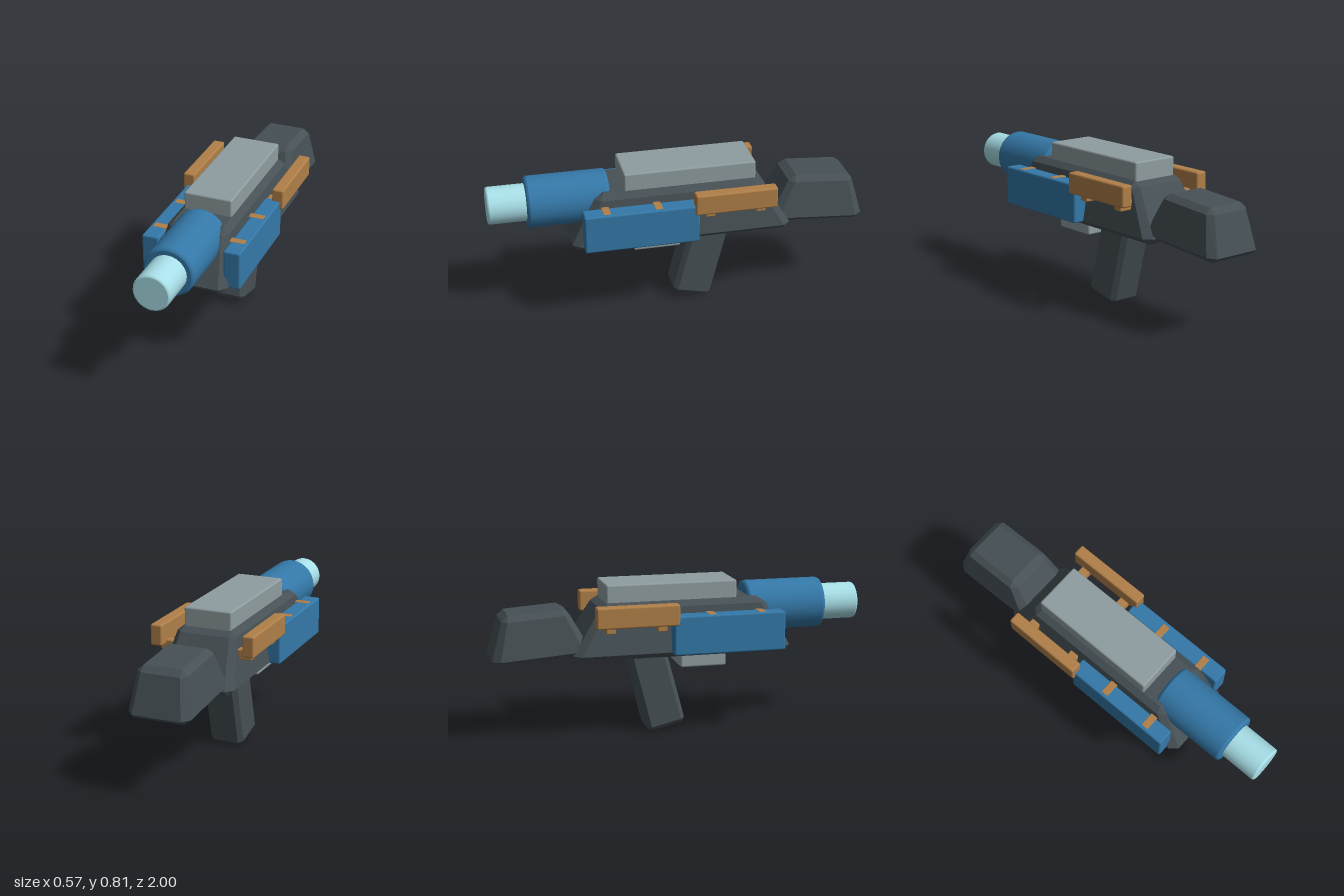
import * as THREE from 'three';
import { ConvexGeometry } from 'three/addons/geometries/ConvexGeometry.js';
import { RoundedBoxGeometry } from 'three/addons/geometries/RoundedBoxGeometry.js';

const paint = (color) => new THREE.MeshStandardMaterial({ color });

export function createModel() {
  const model = new THREE.Group();
  const dark = paint(0x465055);
  dark.flatShading = true;
  const blue = paint(0x3478a8);
  const cyan = paint(0xa8dfe8);
  const bronze = paint(0xb07f48);
  const grey = paint(0x8f9da0);

  const add = (name, geometry, material) => {
    const mesh = new THREE.Mesh(geometry, material);
    mesh.name = name;
    model.add(mesh);
    return mesh;
  };

  // Softly rounded block given by its limits on each axis
  const block = (name, material, [x0, x1], [y0, y1], [z0, z1], r = 0.01) => {
    const mesh = add(name, new RoundedBoxGeometry(x1 - x0, y1 - y0, z1 - z0, 2, r), material);
    mesh.position.set((x0 + x1) / 2, (y0 + y1) / 2, (z0 + z1) / 2);
    return mesh;
  };

  // Chamfered block: side outline corners as [z, y], half widths below and above
  const chamfered = (name, bottomFront, bottomBack, topFront, topBack, lowW, highW, bevel) => {
    const points = [];
    const mix = THREE.MathUtils.lerp;
    // u, v, w run 0..1 across, up and front-to-back
    const place = (u, v, w) => {
      const [z, y] = [0, 1].map((i) =>
        mix(mix(bottomFront[i], bottomBack[i], w), mix(topFront[i], topBack[i], w), v));
      points.push(new THREE.Vector3((2 * u - 1) * mix(lowW, highW, v), y, z));
    };
    for (let corner = 0; corner < 8; corner++) {
      for (let face = 0; face < 3; face++) {
        place(...[0, 1, 2].map((axis) => {
          const inset = axis === face ? 0 : bevel[axis];
          return (corner >> axis) & 1 ? 1 - inset : inset;
        }));
      }
    }
    return add(name, new ConvexGeometry(points), dark);
  };

  // Body, stock and grip
  chamfered('body', [0.6, 0.43], [-0.6, 0.43], [0.44, 0.722], [-0.42, 0.722], 0.212, 0.158, [0.09, 0.1, 0.035]);
  chamfered('stock', [-0.47, 0.455], [-1.005, 0.415], [-0.605, 0.695], [-0.935, 0.672], 0.17, 0.128, [0.11, 0.11, 0.08]);
  chamfered('grip', [0.035, 0.045], [-0.17, -0.003], [-0.085, 0.5], [-0.285, 0.452], 0.093, 0.093, [0.13, 0.05, 0.11]);

  // Blocks above and below the body
  block('topPlate', grey, [-0.13, 0.13], [0.68, 0.815], [-0.4, 0.3]);
  block('underBlock', grey, [-0.113, 0.113], [0.35, 0.445], [0, 0.25]);

  // Round parts along z with bevelled rims
  const rod = (name, material, radius, z0, z1, b) => {
    const h = z1 - z0;
    const rim = b * 0.3;
    const profile = [
      [0, 0], [radius - b, 0], [radius - b, 0], [radius - rim, rim], [radius, b], [radius, b],
      [radius, h - b], [radius, h - b], [radius - rim, h - rim], [radius - b, h], [radius - b, h], [0, h],
    ].map(([x, y]) => new THREE.Vector2(x, y));
    const mesh = add(name, new THREE.LatheGeometry(profile, 28), material);
    mesh.rotation.x = Math.PI / 2;
    mesh.position.set(0, 0.65, z0);
  };
  rod('barrel', blue, 0.135, 0.37, 0.8, 0.015);
  rod('muzzle', cyan, 0.098, 0.7, 1, 0.01);

  // Side panels and rails with their brackets, mirrored
  for (const side of [1, -1]) {
    const label = side > 0 ? 'left' : 'right';
    const span = (a, b) => (side > 0 ? [a, b] : [-b, -a]);
    block(label + 'Panel', blue, span(0.175, 0.265), [0.453, 0.66], [-0.07, 0.53]);
    block(label + 'Rail', bronze, span(0.22, 0.284), [0.615, 0.727], [-0.48, -0.045]);
    for (const z of [0.14, 0.41]) {
      block(label + 'PanelBracket', bronze, span(0.13, 0.248), [0.62, 0.662], [z - 0.02, z + 0.02], 0.003);
    }
    for (const z of [-0.13, -0.4]) {
      block(label + 'RailBracket', bronze, span(0.13, 0.25), [0.583, 0.635], [z - 0.025, z + 0.025], 0.005);
    }
  }
  return model;
}
